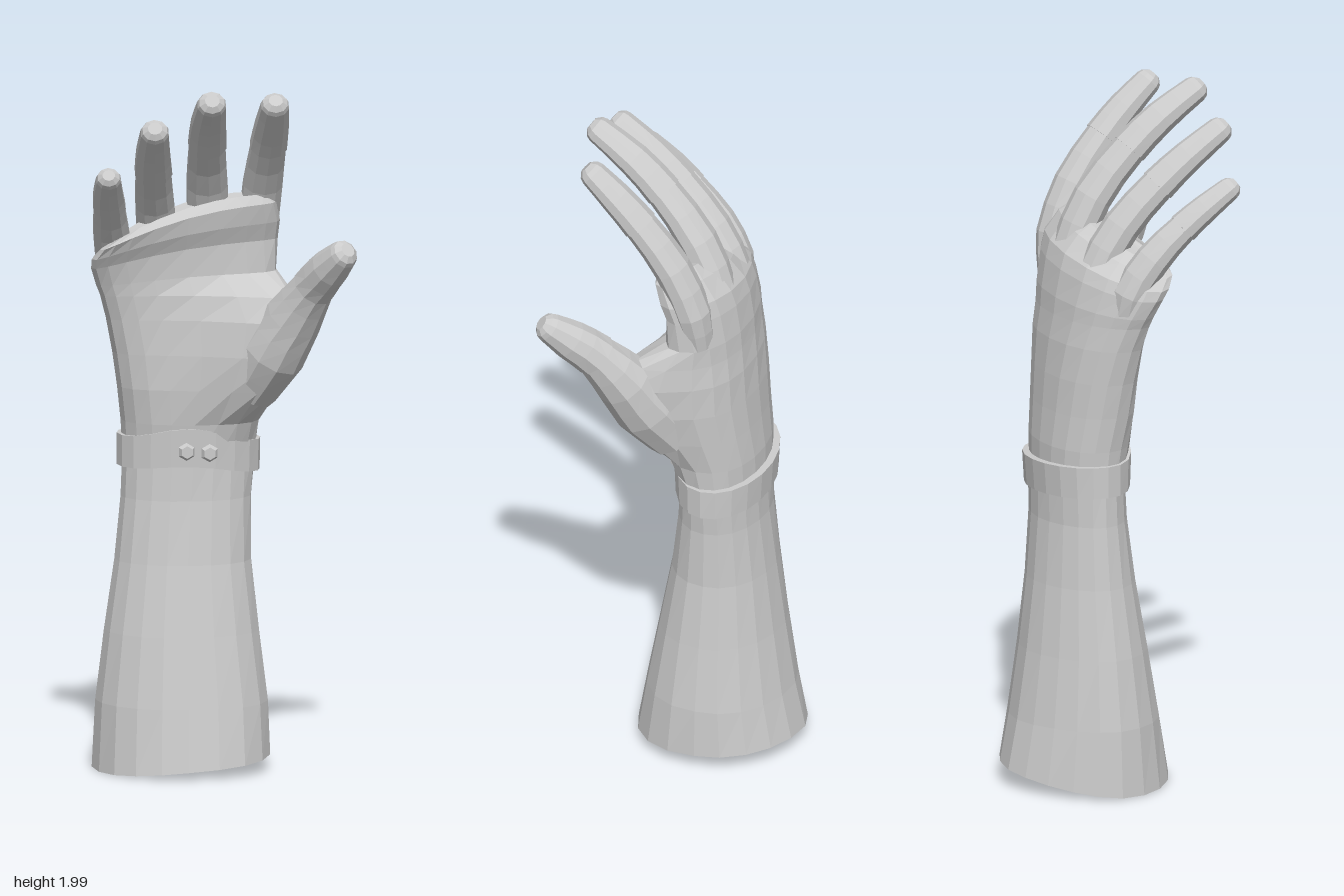
import * as THREE from 'three';

const V = (x, y, z) => new THREE.Vector3(x, y, z);
const material = new THREE.MeshStandardMaterial({ color: 0xcccccc, flatShading: true, side: THREE.DoubleSide });

// Skin a list of rings (equal point counts); optional caps at the ends
function loft(name, rings, capStart = false, capEnd = false) {
  const n = rings[0].length, pts = rings.flat(), idx = [];
  for (let i = 0; i < rings.length - 1; i++) {
    for (let j = 0; j < n; j++) {
      const a = i * n + j, b = i * n + (j + 1) % n, c = a + n, d = b + n;
      idx.push(a, c, b, b, c, d);
    }
  }
  const cap = (ring, base, flip) => {
    const centre = pts.length;
    pts.push(ring.reduce((s, p) => s.add(p), V(0, 0, 0)).divideScalar(n));
    for (let j = 0; j < n; j++) {
      const a = base + j, b = base + (j + 1) % n;
      idx.push(centre, flip ? b : a, flip ? a : b);
    }
  };
  if (capStart) cap(rings[0], 0, false);
  if (capEnd) cap(rings[rings.length - 1], (rings.length - 1) * n, true);
  const indexed = new THREE.BufferGeometry().setFromPoints(pts);
  indexed.setIndex(idx);
  const geo = indexed.toNonIndexed();
  geo.computeVertexNormals();
  const mesh = new THREE.Mesh(geo, material);
  mesh.name = name;
  return mesh;
}

// Horizontal oval from its extents. rise(c, s) lifts points, bend cups it, tilt skews it in z,
// skew leans it toward the thumb side, ball [x, z] pulls the thumb corner outward
function oval(y, x0, x1, z0, z1, { power = 1, bend = 0, tilt = 0, skew = 0, ball = [0, 0], rise = () => 0 } = {}) {
  const soft = (v) => Math.sign(v) * Math.abs(v) ** power, sides = 20;
  return Array.from({ length: sides }, (_, j) => {
    const t = (j / sides) * Math.PI * 2, c = soft(Math.cos(t)), s = soft(Math.sin(t));
    const w = Math.max(0, Math.cos(t - 0.68)) ** 3.5, k = skew * Math.max(0, c * s);
    return V((x0 + x1) / 2 + c * (x1 - x0) / 2 + k + ball[0] * w, y + rise(c, s),
      (z0 + z1) / 2 + s * (z1 - z0) / 2 + bend * c * c + tilt * c + k + ball[1] * w);
  });
}

// Finger: tapered sweep along joints [x, y, z, radius], split at a seam into base and cap
function finger(name, joints, seam, flat = 0.92) {
  const group = new THREE.Group();
  group.name = name;
  const curve = new THREE.CatmullRomCurve3(joints.map(([x, y, z]) => V(x, y, z)));
  const last = joints.length - 1;
  const ring = (k, grow = 0, push = 0, scale = 1) => {
    const i = Math.min(Math.floor(k), last - 1), f = k - i;
    const r = (THREE.MathUtils.lerp(joints[i][3], joints[i + 1][3], f) + grow) * scale;
    const T = curve.getTangent(k / last), S = V(1, 0, 0);
    S.addScaledVector(T, -S.dot(T)).normalize();
    const N = S.clone().cross(T), p = curve.getPoint(k / last).addScaledVector(T, push);
    return Array.from({ length: 10 }, (_, j) => {
      const t = ((j + 0.5) / 10) * Math.PI * 2;
      return p.clone().addScaledVector(S, Math.cos(t) * r).addScaledVector(N, Math.sin(t) * r * flat);
    });
  };
  const lower = [], upper = [ring(seam, -0.006)];
  for (let k = 0; k <= seam; k += 0.5) lower.push(ring(k));
  for (let k = seam; k <= last; k += 0.5) upper.push(ring(k, 0.003));
  upper.push(ring(last, 0.003, 0.014, 0.88), ring(last, 0.003, 0.027, 0.5));
  group.add(loft(name + 'Base', lower, true, false), loft(name + 'Cap', upper, false, true));
  return group;
}

export function createModel() {
  const hand = new THREE.Group();
  hand.name = 'glovedHand';

  // Flared forearm with a slanted open end
  hand.add(loft('forearm', [
    oval(0.03, -0.34, 0.16, -0.324, 0.15, { skew: 0.03, rise: (c, s) => 0.022 * c - 0.016 * s + 0.012 * s * s }),
    oval(0.2, -0.33, 0.155, -0.295, 0.12, { skew: 0.028 }),
    oval(0.4, -0.305, 0.132, -0.265, 0.085, { skew: 0.022 }),
    oval(0.6, -0.275, 0.112, -0.24, 0.05, { skew: 0.015 }),
    oval(0.78, -0.257, 0.113, -0.222, 0.027, { skew: 0.01 }),
    oval(0.91, -0.252, 0.125, -0.218, 0.022),
  ]));

  // Wrist band, rising to a point on the palm side
  const peak = (h) => (c, s) => h * Math.max(0, s) ** 4 - 0.01 * c;
  const low = peak(0.02), high = peak(0.04);
  hand.add(loft('wristBand', [
    oval(0.86, -0.25, 0.12, -0.215, 0.018, { rise: low }),
    oval(0.86, -0.268, 0.137, -0.23, 0.037, { rise: low }),
    oval(0.95, -0.268, 0.139, -0.236, 0.042, { rise: high }),
    oval(0.95, -0.25, 0.12, -0.215, 0.022, { rise: high }),
  ]));

  // Two six-sided studs on the band
  for (const [x, y] of [[-0.085, 0.925], [-0.02, 0.92]]) {
    const stud = new THREE.Mesh(new THREE.CylinderGeometry(0.018, 0.026, 0.014, 6), material);
    stud.name = 'bandStud';
    stud.rotation.x = Math.PI / 2;
    stud.position.set(x, y, 0.044);
    hand.add(stud);
  }

  // Palm: widens from the wrist, swells into the thumb, cups forward, slants to the little finger
  const slant = (k) => (c) => k * c - k * 0.4 * c * c;
  const upper = (k) => ({ power: 0.85, bend: 0.055, tilt: -0.025, rise: slant(k) });
  hand.add(loft('palm', [
    oval(0.88, -0.25, 0.12, -0.215, 0.018),
    oval(1.0, -0.258, 0.13, -0.213, 0.035, { power: 0.95, ball: [0.008, 0.02] }),
    oval(1.1, -0.27, 0.148, -0.203, 0.038, { power: 0.9, bend: 0.01, ball: [0.05, 0.085] }),
    oval(1.2, -0.285, 0.165, -0.195, 0.033, { power: 0.88, bend: 0.02, ball: [0.085, 0.13] }),
    oval(1.3, -0.305, 0.168, -0.186, 0.02, { power: 0.85, bend: 0.03, tilt: -0.01, ball: [0.11, 0.15] }),
    oval(1.37, -0.324, 0.168, -0.176, 0.014, { power: 0.85, bend: 0.04, tilt: -0.018, ball: [0.08, 0.1] }),
    oval(1.42, -0.336, 0.174, -0.172, 0.014, { power: 0.85, bend: 0.045, tilt: -0.02, ball: [0.01, 0.01], rise: slant(0.015) }),
    oval(1.5, -0.353, 0.182, -0.158, 0.02, upper(0.035)),
    oval(1.545, -0.353, 0.186, -0.144, 0.04, upper(0.047)),
    oval(1.595, -0.332, 0.172, -0.1, 0.05, upper(0.06)),
    oval(1.62, -0.3, 0.14, -0.06, 0.025, upper(0.06)),
  ], false, true));

  // Fingers, rooted behind the knuckles, and thumb
  hand.add(
    finger('indexFinger', [[0.115, 1.43, -0.085, 0.045], [0.128, 1.54, -0.07, 0.058], [0.136, 1.68, -0.012, 0.057],
      [0.141, 1.805, 0.083, 0.051], [0.143, 1.88, 0.155, 0.046], [0.143, 1.945, 0.227, 0.038]], 3),
    finger('middleFinger', [[0.0, 1.42, -0.1, 0.045], [-0.01, 1.53, -0.09, 0.06], [-0.02, 1.68, -0.026, 0.06],
      [-0.032, 1.81, 0.083, 0.053], [-0.039, 1.893, 0.178, 0.048], [-0.043, 1.962, 0.285, 0.039]], 3),
    finger('ringFinger', [[-0.135, 1.39, -0.095, 0.045], [-0.153, 1.5, -0.08, 0.059], [-0.17, 1.63, -0.008, 0.057],
      [-0.186, 1.74, 0.096, 0.052], [-0.197, 1.818, 0.188, 0.046], [-0.204, 1.885, 0.283, 0.038]], 3),
    finger('littleFinger', [[-0.265, 1.36, -0.05, 0.042], [-0.28, 1.46, -0.035, 0.056], [-0.298, 1.56, 0.027, 0.053],
      [-0.313, 1.645, 0.113, 0.045], [-0.324, 1.698, 0.178, 0.04], [-0.331, 1.748, 0.25, 0.033]], 3),
    finger('thumb', [[0.1, 1.1, 0.0, 0.08], [0.157, 1.21, 0.058, 0.094], [0.21, 1.315, 0.105, 0.082],
      [0.26, 1.415, 0.17, 0.06], [0.298, 1.477, 0.233, 0.053], [0.33, 1.525, 0.285, 0.039]], 3, 1.05),
  );
  return hand;
}
